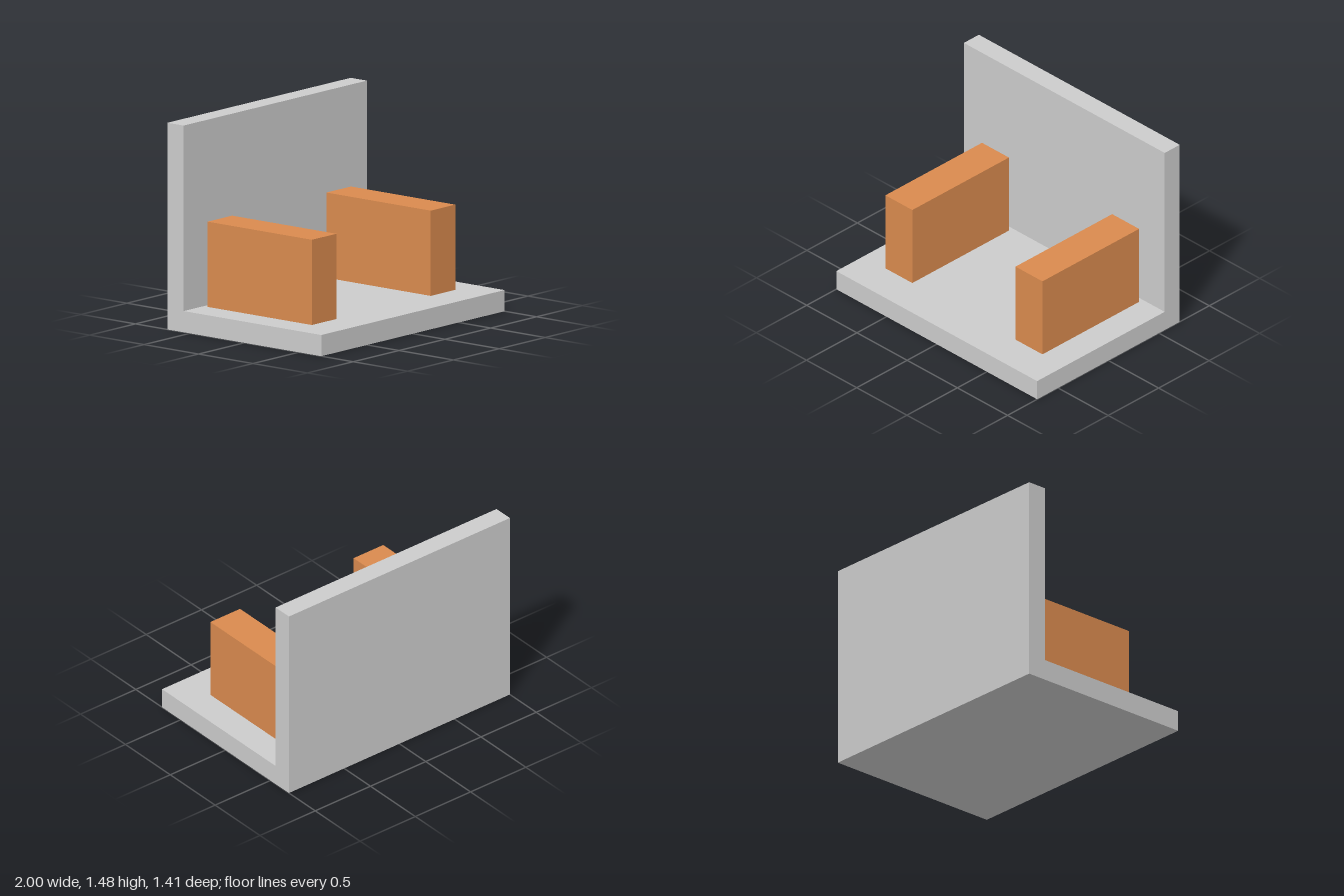
import * as THREE from 'three';

export function createModel() {
  const group = new THREE.Group();
  const grey = new THREE.MeshStandardMaterial({ color: 0xcccccc });
  const orange = new THREE.MeshStandardMaterial({ color: 0xd98a4e });

  // L-shaped bracket: base plate and back wall in one side profile (z, y)
  const profile = new THREE.Shape([
    [-0.707, 0], [0.707, 0], [0.707, 0.152],
    [-0.558, 0.152], [-0.558, 1.484], [-0.707, 1.484],
  ].map(([z, y]) => new THREE.Vector2(z, y)));
  const bracketGeometry = new THREE.ExtrudeGeometry(profile, { depth: 2, bevelEnabled: false });
  bracketGeometry.rotateY(-Math.PI / 2).translate(1, 0, 0);
  const bracket = new THREE.Mesh(bracketGeometry, grey);
  bracket.name = 'baseAndBackWall';
  group.add(bracket);

  // Pair of upright blocks standing on the base, just clear of the wall
  const blockGeometry = new THREE.BoxGeometry(0.268, 0.612, 0.958);
  for (const [name, side] of [['leftBlock', 1], ['rightBlock', -1]]) {
    const block = new THREE.Mesh(blockGeometry, orange);
    block.name = name;
    block.position.set(side * 0.648, 0.152 + 0.306, -0.042);
    group.add(block);
  }

  return group;
}
